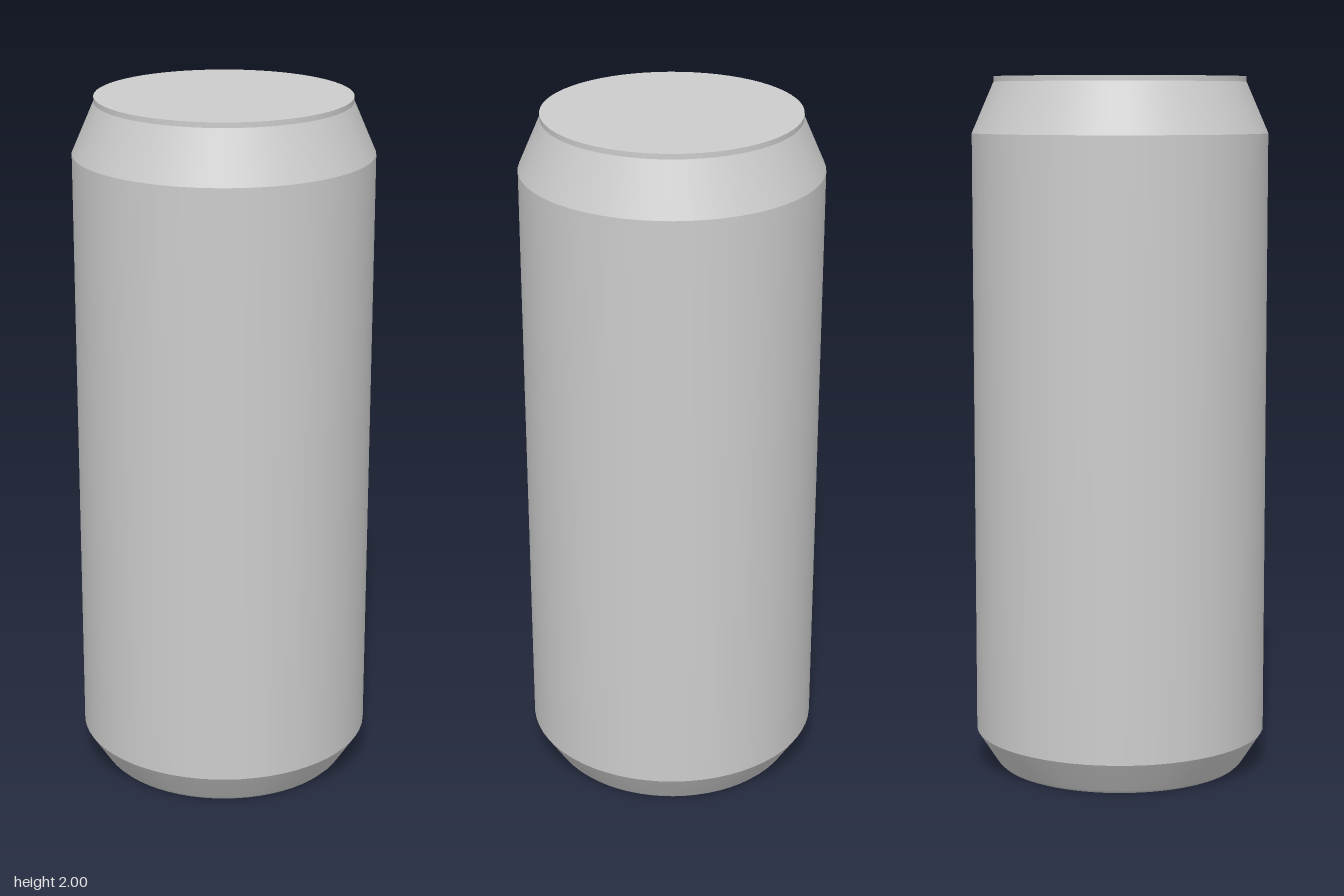
import * as THREE from 'three';

const metal = new THREE.MeshStandardMaterial({ color: 0xcccccc });
metal.name = 'grey metal';

// One smooth-shaded band of the can; separate bands keep the edges between them sharp
function band(name, profile) {
  const points = profile.map(([r, y]) => new THREE.Vector2(r, y));
  const mesh = new THREE.Mesh(new THREE.LatheGeometry(points, 64), metal);
  mesh.name = name;
  return mesh;
}

export function createModel() {
  const can = new THREE.Group();
  can.name = 'can';
  can.add(
    // Bottom disc and its bevel share soft normals
    band('base', [[0, 0], [0.355, 0], [0.365, 0.01], [0.423, 0.1]]),
    band('body', [[0.423, 0.1], [0.423, 1.84]]),
    band('shoulder', [[0.423, 1.84], [0.36, 1.985]]),
    band('rim', [[0.36, 1.985], [0.36, 2]]),
    band('lid', [[0.36, 2], [0, 2]]),
  );
  return can;
}
